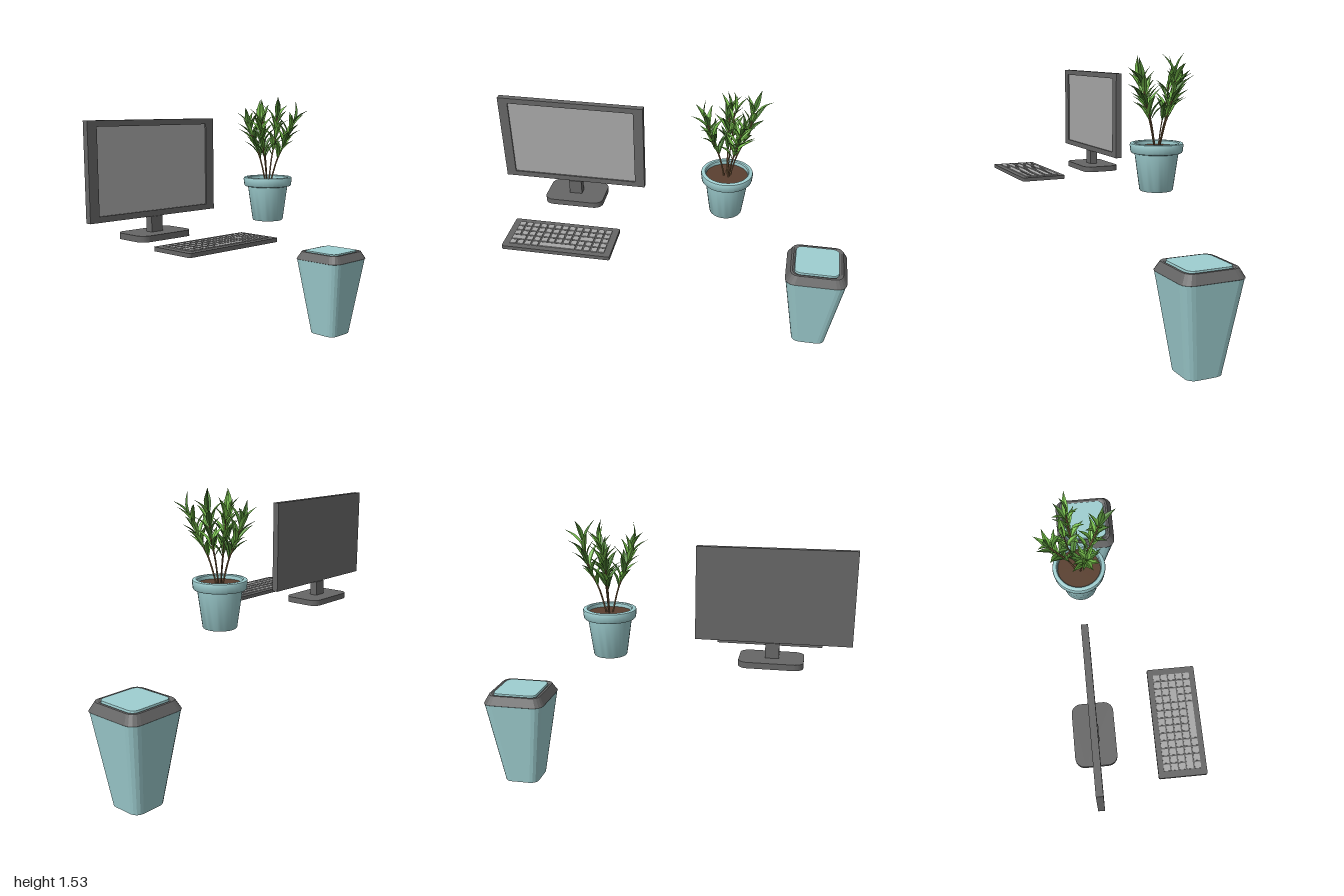
import * as THREE from 'three';
import { toCreasedNormals } from 'three/addons/utils/BufferGeometryUtils.js';

const mat = (color, extra = {}) => new THREE.MeshStandardMaterial({ color, ...extra });
const dark = mat(0x666666);
const light = mat(0xa8a8a8);
const teal = mat(0x9fcfd1);
const tealFlat = mat(0x9fcfd1, { flatShading: true });
const darkFlat = mat(0x666666, { flatShading: true });
const soilMat = mat(0x5a4030);
const bark = mat(0x8a6a48);
const greens = [0x7cc450, 0x69ad40, 0x4f8535].map(c => mat(c, { side: THREE.DoubleSide, flatShading: true }));

function add(parent, name, geo, material, x = 0, y = 0, z = 0) {
  const mesh = new THREE.Mesh(geo, material);
  mesh.name = name;
  mesh.position.set(x, y, z);
  parent.add(mesh);
  return mesh;
}

function group(parent, name, x = 0, y = 0, z = 0) {
  const g = new THREE.Group();
  g.name = name;
  g.position.set(x, y, z);
  parent.add(g);
  return g;
}

// Rounded rectangle outline centred on the origin
function roundedRect(w, h, r) {
  const s = new THREE.Shape();
  const corners = [[1, 1, 0], [-1, 1, 1], [-1, -1, 2], [1, -1, 3]];
  for (const [sx, sy, q] of corners) {
    s.absarc(sx * (w / 2 - r), sy * (h / 2 - r), r, q * Math.PI / 2, (q + 1) * Math.PI / 2);
  }
  s.closePath();
  return s;
}

// Capped skin through rounded squares, each given as [half width, corner radius, height]
function squareLoft(sections, seg = 4) {
  const pos = [], index = [], n = 4 * (seg + 1);
  for (const [half, r, y] of sections) {
    for (let q = 0; q < 4; q++) for (let k = 0; k <= seg; k++) {
      const mid = (q + 0.5) * Math.PI / 2, a = (q + k / seg) * Math.PI / 2;
      pos.push(Math.sign(Math.cos(mid)) * (half - r) + r * Math.cos(a), y,
        Math.sign(Math.sin(mid)) * (half - r) + r * Math.sin(a));
    }
  }
  const last = (sections.length - 1) * n, bottom = sections.length * n, top = bottom + 1;
  pos.push(0, sections[0][2], 0, 0, sections.at(-1)[2], 0);
  for (let i = 0; i < n; i++) {
    const j = (i + 1) % n;
    for (let s = 0; s < last; s += n) index.push(s + i, s + n + i, s + j, s + j, s + n + i, s + n + j);
    index.push(bottom, i, j, top, last + j, last + i);
  }
  const g = new THREE.BufferGeometry();
  g.setAttribute('position', new THREE.Float32BufferAttribute(pos, 3));
  g.setIndex(index);
  g.computeVertexNormals();
  return g;
}

function buildMonitor(root) {
  const g = group(root, 'monitor', -0.152, 0, 0.594);
  // Bezel with a recessed screen facing +x
  const outline = new THREE.Shape([[-0.406, -0.246], [0.406, -0.246], [0.406, 0.246], [-0.406, 0.246]]
    .map(p => new THREE.Vector2(...p)));
  outline.holes.push(new THREE.Path([[-0.352, -0.216], [-0.352, 0.216], [0.352, 0.216], [0.352, -0.216]]
    .map(p => new THREE.Vector2(...p))));
  const bezel = new THREE.ExtrudeGeometry(outline, { depth: 0.014, bevelEnabled: false });
  bezel.rotateY(Math.PI / 2);
  add(g, 'bezel', bezel, dark, 0.003, 1.166, 0);
  add(g, 'backPanel', new THREE.BoxGeometry(0.02, 0.492, 0.812), dark, -0.007, 1.166, 0);
  add(g, 'screen', new THREE.BoxGeometry(0.008, 0.432, 0.704), light, 0.005, 1.166, 0);
  // Stand
  add(g, 'neck', new THREE.BoxGeometry(0.044, 0.085, 0.072), dark, -0.001, 0.877, 0);
  const base = new THREE.ExtrudeGeometry(roundedRect(0.22, 0.335, 0.05),
    { depth: 0.032, bevelEnabled: false, curveSegments: 6 });
  base.rotateX(-Math.PI / 2);
  add(g, 'standBase', toCreasedNormals(base, 0.6), dark, -0.003, 0.807, -0.003);
}

function buildKeyboard(root) {
  const g = group(root, 'keyboard', 0.284, 0.807, 0.56);
  const body = new THREE.ExtrudeGeometry(roundedRect(0.254, 0.588, 0.008),
    { depth: 0.021, bevelEnabled: false, curveSegments: 2 });
  body.rotateX(-Math.PI / 2);
  add(g, 'keyboardBody', body, dark);
  // Keys on a 5 by 13 grid; listed ones span several rows
  const pitch = 0.0404, span = { '2,2': 2, '4,4': 5, '3,11': 2 };
  for (let c = 0; c < 5; c++) {
    for (let r = 0; r < 13;) {
      const n = span[`${c},${r}`] || 1;
      add(g, 'key', new THREE.BoxGeometry(0.033, 0.008, n * pitch - 0.008), light,
        (c - 2) * pitch, 0.022, (r + (n - 1) / 2 - 6) * pitch);
      r += n;
    }
  }
}

function buildBin(root) {
  const g = group(root, 'bin', -0.102, 0, -0.825);
  add(g, 'binBody', squareLoft([[0.1, 0.045, 0], [0.173, 0.055, 0.5]]), tealFlat);
  add(g, 'binRim', squareLoft([[0.172, 0.055, 0.496], [0.175, 0.055, 0.498], [0.149, 0.045, 0.546],
    [0.138, 0.04, 0.547], [0.128, 0.036, 0.54]]), darkFlat);
  add(g, 'binLid', squareLoft([[0.127, 0.036, 0.535], [0.125, 0.036, 0.552]]), tealFlat);
}

// Pointed leaf along +z, folded at the midrib and drooping slightly
function leafGeometry() {
  const pos = [], index = [], steps = 6;
  for (let i = 0; i <= steps; i++) {
    const t = i / steps, w = 0.11 * Math.pow(Math.sin(Math.PI * Math.pow(t, 0.85)), 1.2);
    const y = 0.08 * Math.sin(Math.PI * t);
    pos.push(-w, y + w * 0.45, t, 0, y, t, w, y + w * 0.45, t);
    if (i) for (const k of [0, 1]) {
      const a = (i - 1) * 3 + k, b = a + 3;
      index.push(a, b, a + 1, a + 1, b, b + 1);
    }
  }
  const g = new THREE.BufferGeometry();
  g.setAttribute('position', new THREE.Float32BufferAttribute(pos, 3));
  g.setIndex(index);
  g.computeVertexNormals();
  return g;
}

function buildPlant(root) {
  const g = group(root, 'pottedPlant', -0.157, 0.807, -0.275);
  // Pot with a thick rolled rim
  const profile = [[0, 0], [0.086, 0], [0.09, 0.005], [0.117, 0.2], [0.134, 0.204], [0.139, 0.21], [0.143, 0.246],
    [0.141, 0.254], [0.135, 0.257], [0.122, 0.257], [0.117, 0.252], [0.113, 0.2]].map(p => new THREE.Vector2(...p));
  add(g, 'pot', toCreasedNormals(new THREE.LatheGeometry(profile, 32), 0.6),
    mat(0x9fcfd1, { side: THREE.DoubleSide }));
  add(g, 'soil', new THREE.CylinderGeometry(0.115, 0.112, 0.02, 32), soilMat, 0, 0.224, 0);

  // Stems lean outwards, each carrying a spiral of upward leaves
  let seed = 7;
  const rand = () => (seed = (seed * 16807) % 2147483647) / 2147483647;
  const leaf = leafGeometry();
  const tips = [[-0.137, 0.55, 0.015], [0.12, 0.56, -0.075], [-0.04, 0.605, -0.125], [0.045, 0.57, 0.11],
    [-0.06, 0.59, -0.02]];
  tips.forEach(([x, y, z], s) => {
    const stem = group(g, 'stem');
    const path = new THREE.CatmullRomCurve3([
      new THREE.Vector3(x * 0.12, 0.225, z * 0.12), new THREE.Vector3(x * 0.4, 0.36, z * 0.4),
      new THREE.Vector3(x * 0.8, 0.48, z * 0.8), new THREE.Vector3(x, y, z)]);
    add(stem, 'branch', new THREE.TubeGeometry(path, 12, s === 4 ? 0.003 : 0.0045, 6), bark);
    const count = s === 4 ? 7 : 17;
    for (let i = 0; i < count; i++) {
      const t = 0.4 + 0.6 * i / (count - 1);
      const a = i * 2.4 + s * 1.3;
      const lean = i === count - 1 ? 0.15 : 0.85 - 0.35 * t + 0.3 * rand();
      const dir = new THREE.Vector3(Math.cos(a) * lean + x * 2, 1, Math.sin(a) * lean + z * 2);
      const p = path.getPointAt(t);
      const m = add(stem, 'leaf', leaf, greens[Math.floor(rand() * 3)], p.x, p.y, p.z);
      // Upper leaf face turned towards the stem
      m.up.set(-Math.cos(a), 0.3, -Math.sin(a));
      const q = new THREE.Matrix4().lookAt(dir, new THREE.Vector3(), m.up);
      m.quaternion.setFromRotationMatrix(q);
      m.scale.setScalar(0.115 + 0.035 * rand());
    }
  });
}

export function createModel() {
  const root = new THREE.Group();
  root.name = 'deskAccessories';
  buildMonitor(root);
  buildKeyboard(root);
  buildPlant(root);
  buildBin(root);
  return root;
}
